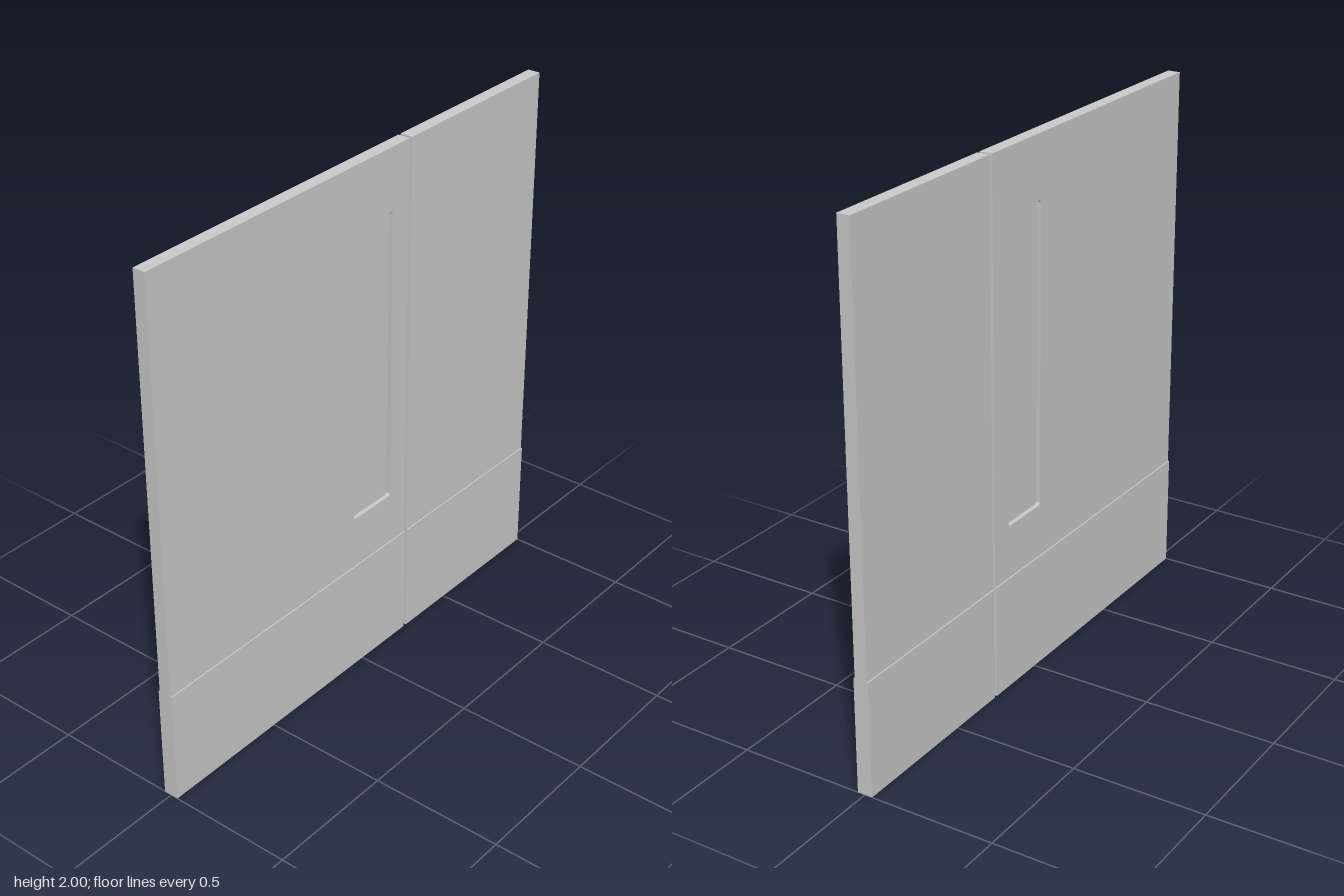
import * as THREE from 'three';

const HALF = 0.024;      // half thickness of a door leaf
const PLATE = 0.005;     // kick plate thickness
const KICK_H = 0.435;
const HEIGHT = 2;
const WINDOW = { z0: -0.163, z1: 0.043, y0: 0.637, y1: 1.768, r: 0.01 };

const material = new THREE.MeshStandardMaterial({ color: 0xcccccc });

function add(parent, name, geometry, x = 0, y = 0, z = 0) {
  const mesh = new THREE.Mesh(geometry, material);
  mesh.name = name;
  mesh.position.set(x, y, z);
  parent.add(mesh);
  return mesh;
}

// Rounded rectangle traced in (z, y)
function roundedRect(path, { z0, z1, y0, y1, r }) {
  path.moveTo(z0 + r, y0);
  path.lineTo(z1 - r, y0);
  path.absarc(z1 - r, y0 + r, r, -Math.PI / 2, 0);
  path.lineTo(z1, y1 - r);
  path.absarc(z1 - r, y1 - r, r, 0, Math.PI / 2);
  path.lineTo(z0 + r, y1);
  path.absarc(z0 + r, y1 - r, r, Math.PI / 2, Math.PI);
  path.lineTo(z0, y0 + r);
  path.absarc(z0 + r, y0 + r, r, Math.PI, Math.PI * 1.5);
  return path;
}

// Extrude a (z, y) outline to a slab centred on x = 0
function slab(shape, thickness) {
  const geometry = new THREE.ExtrudeGeometry(shape, { depth: thickness, bevelEnabled: false, curveSegments: 6 });
  geometry.translate(0, 0, -thickness / 2);
  geometry.rotateY(-Math.PI / 2);
  return geometry;
}

// One door leaf with a kick plate on each face
function makeLeaf(name, z0, z1, hasWindow) {
  const leaf = new THREE.Group();
  leaf.name = name;
  const outline = new THREE.Shape([
    new THREE.Vector2(z0, 0), new THREE.Vector2(z1, 0),
    new THREE.Vector2(z1, HEIGHT), new THREE.Vector2(z0, HEIGHT),
  ]);
  if (hasWindow) {
    outline.holes.push(roundedRect(new THREE.Path(), WINDOW));
    add(leaf, 'windowPane', slab(roundedRect(new THREE.Shape(), WINDOW), 0.016));
  }
  add(leaf, 'doorPanel', slab(outline, HALF * 2));
  for (const side of [-1, 1]) {
    add(leaf, side > 0 ? 'kickPlateLeft' : 'kickPlateRight',
      new THREE.BoxGeometry(PLATE, KICK_H, z1 - z0),
      side * (HALF + PLATE / 2), KICK_H / 2, (z0 + z1) / 2);
  }
  return leaf;
}

export function createModel() {
  const model = new THREE.Group();
  model.name = 'doubleDoor';
  model.add(makeLeaf('wideLeaf', -0.25, 1, true));
  model.add(makeLeaf('narrowLeaf', -1, -0.263, false));
  return model;
}
